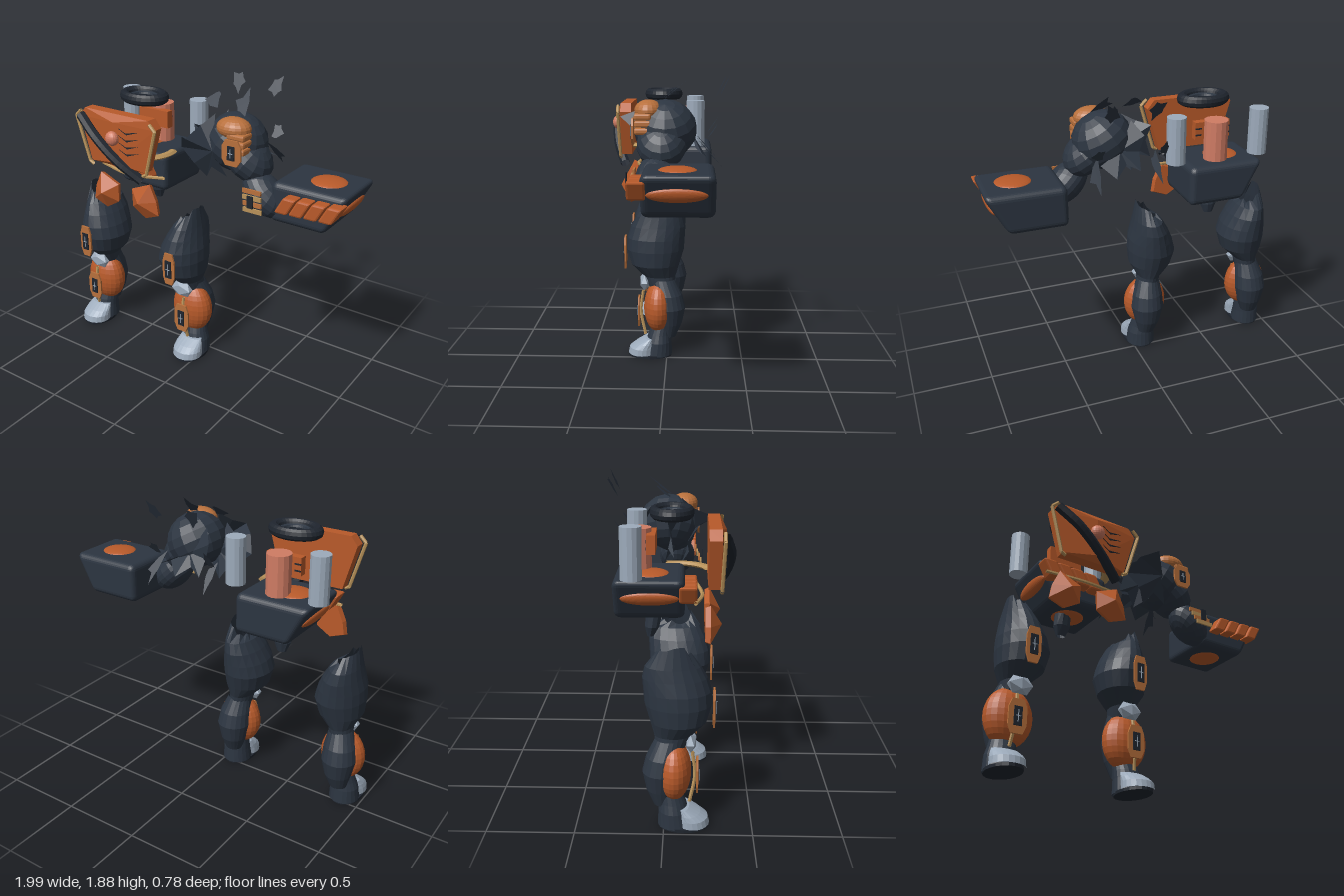
import * as THREE from 'three';
import { RoundedBoxGeometry } from 'three/addons/geometries/RoundedBoxGeometry.js';
import { ConvexGeometry } from 'three/addons/geometries/ConvexGeometry.js';

const mat = (name, color, extra = {}) => new THREE.MeshStandardMaterial({ name, color, flatShading: true, ...extra });
const DS = { side: THREE.DoubleSide };
const V = (x, y, z) => new THREE.Vector3(x, y, z);

export function createModel() {
  const slate = mat('slate armour', 0x2c3541, DS);
  const black = mat('black rubber', 0x1f252e, DS);
  const orange = mat('burnt orange', 0xb85a2a);
  const tan = mat('tan orange', 0xb8703c);
  const gold = mat('dull gold', 0xb8925a, DS);
  const steel = mat('pale steel', 0x9dabbb);
  const salmon = mat('salmon', 0xd07c64);
  const root = new THREE.Group();
  root.name = 'brokenRobot';

  const add = (parent, name, geo, m, x = 0, y = 0, z = 0) => {
    const mesh = new THREE.Mesh(geo, m);
    mesh.name = name;
    mesh.position.set(x, y, z);
    parent.add(mesh);
    return mesh;
  };
  const ball = (parent, name, m, pos, r, seg = 18) => {
    const s = add(parent, name, new THREE.SphereGeometry(1, seg, Math.round(seg * 0.7)), m, ...pos);
    s.scale.set(...r);
    return s;
  };
  const box = (parent, name, m, pos, size) => add(parent, name, new THREE.BoxGeometry(...size), m, ...pos);

  // Tube of elliptical sections [y, cx, cz, rx, rz], bottom to top, with an optional torn, tilted upper rim
  const loft = (rows, torn = 0, tilt = 0, n = 20) => {
    const pos = [], idx = [];
    rows.forEach(([y, cx, cz, rx, rz], r) => {
      for (let i = 0; i < n; i++) {
        const a = (i / n) * Math.PI * 2;
        const rag = r === rows.length - 1 ? torn * Math.sin(i * 2.4) * Math.cos(i * 1.1) + tilt * Math.cos(a) : 0;
        pos.push(cx + rx * Math.cos(a), y + rag, cz + rz * Math.sin(a));
        if (r) {
          const j = (i + 1) % n, p = (r - 1) * n, q = r * n;
          idx.push(p + i, q + i, p + j, p + j, q + i, q + j);
        }
      }
    });
    const g = new THREE.BufferGeometry();
    g.setAttribute('position', new THREE.Float32BufferAttribute(pos, 3));
    g.setIndex(idx);
    g.computeVertexNormals();
    return g;
  };

  // Thin plate cut from an outline
  const plateGeo = (pts, depth) =>
    new THREE.ExtrudeGeometry(new THREE.Shape(pts.map(p => new THREE.Vector2(...p))), { depth, bevelEnabled: false });
  // Chamfered panel with a dark display
  const panel = (parent, name, x, y, z, w, h) => {
    const a = w / 2, b = h / 2;
    add(parent, name, plateGeo([[-a * 0.6, -b], [a * 0.6, -b], [a, -b * 0.5], [a, b * 0.5],
      [a * 0.65, b], [-a * 0.65, b], [-a, b * 0.5], [-a, -b * 0.5]], 0.012), tan, x, y, z);
    box(parent, name + 'Screen', black, [x, y, z + 0.014], [0.048, h * 0.55, 0.008]);
    box(parent, name + 'ScreenMark', steel, [x, y, z + 0.02], [0.004, h * 0.35, 0.004]);
    box(parent, name + 'ScreenMark', steel, [x, y, z + 0.02], [0.03, 0.004, 0.004]);
  };

  // ---------- Legs and hip guards, mirrored about the torso line ----------
  for (const side of [1, -1]) {
    const leg = new THREE.Group();
    leg.name = side > 0 ? 'leftLeg' : 'rightLeg';
    leg.position.x = -0.475;
    leg.scale.x = side;
    root.add(leg);
    add(leg, 'thigh', loft([[0.47, 0.37, 0.035, 0.07, 0.085], [0.54, 0.363, 0.05, 0.075, 0.105],
      [0.62, 0.342, 0.08, 0.138, 0.16], [0.72, 0.333, 0.08, 0.155, 0.19], [0.8, 0.342, 0.075, 0.142, 0.19],
      [0.88, 0.353, 0.06, 0.115, 0.18], [0.95, 0.368, 0.05, 0.088, 0.155], [1.02, 0.378, 0.055, 0.06, 0.095]], 0.022, 0.05), slate);
    add(leg, 'calfBack', loft([[0.13, 0.395, -0.01, 0.055, 0.05], [0.22, 0.39, -0.015, 0.085, 0.085],
      [0.33, 0.39, -0.012, 0.11, 0.11], [0.42, 0.385, 0, 0.1, 0.1], [0.52, 0.372, 0.03, 0.072, 0.08]]), slate);
    ball(leg, 'calfShell', orange, [0.383, 0.33, 0.058], [0.145, 0.175, 0.097], 22);
    const cap = add(leg, 'kneeCap', new THREE.IcosahedronGeometry(1, 0), steel, 0.363, 0.5, 0.15);
    cap.scale.set(0.084, 0.062, 0.036);
    panel(leg, 'thighPanel', 0.355, 0.7, 0.272, 0.09, 0.22);
    panel(leg, 'shinPanel', 0.384, 0.3, 0.182, 0.11, 0.2);
    const strip = new THREE.CatmullRomCurve3([V(0.38, 0.44, 0.16), V(0.385, 0.3, 0.175), V(0.4, 0.14, 0.145)]);
    add(leg, 'shinStrip', new THREE.TubeGeometry(strip, 10, 0.011, 6), gold);
    // Foot
    add(leg, 'sole', loft([[0, 0.412, 0.113, 0, 0], [0, 0.412, 0.113, 0.1, 0.145], [0.018, 0.412, 0.113, 0.1, 0.145],
      [0.018, 0.412, 0.113, 0, 0]]), black);
    add(leg, 'boot', loft([[0.01, 0.41, 0.065, 0.096, 0.1], [0.1, 0.41, 0.055, 0.09, 0.085],
      [0.15, 0.402, 0.05, 0.082, 0.075], [0.2, 0.395, 0.04, 0.075, 0.065], [0.2, 0.395, 0.04, 0, 0]]), slate);
    add(leg, 'toeCap', loft([[0.018, 0.412, 0.165, 0.101, 0.094], [0.06, 0.412, 0.16, 0.1, 0.09],
      [0.09, 0.41, 0.14, 0.094, 0.068], [0.125, 0.408, 0.11, 0.08, 0.035], [0.13, 0.408, 0.1, 0, 0]]), steel);
    // Faceted hip guard
    const rim = [[0.2, 1.24], [0.055, 1.18], [0.06, 1.06], [0.16, 1], [0.265, 1.04], [0.25, 1.13]];
    add(leg, 'hipGuard', new ConvexGeometry([...rim.map(([x, y]) => V(x, y, 0.255)),
      ...rim.map(([x, y]) => V(0.155 + (x - 0.155) * 0.9, 1.12 + (y - 1.12) * 0.9, 0.225)), V(0.15, 1.12, 0.32)]), orange);
  }
  add(root, 'pelvisCore', loft([[1.0, -0.475, -0.09, 0.03, 0.02], [1.06, -0.475, -0.08, 0.055, 0.045],
    [1.2, -0.475, -0.06, 0.055, 0.05]], 0.02, 0, 10), slate);

  // ---------- Chest ----------
  const chest = new THREE.Group();
  chest.name = 'chest';
  chest.position.x = -0.475;
  root.add(chest);
  const outline = [[-0.215, 1.335], [0.215, 1.335], [0.295, 1.62], [0.25, 1.675], [-0.25, 1.675], [-0.295, 1.62]];
  add(chest, 'chestPlate', new ConvexGeometry([...outline.map(([x, y]) => V(x, y, 0.31)),
    ...outline.map(([x, y]) => V(x, y, 0.24)), V(0, 1.63, 0.343), V(0, 1.37, 0.343)]), orange);
  const frame = [[0.27, 1.66, 0.325], [0.31, 1.62, 0.325], [0.228, 1.33, 0.315], [0.2, 1.315, 0.315]];
  for (const s of [1, -1])
    for (let i = 0; i < 3; i++) {
      const [a, b] = [frame[i], frame[i + 1]].map(p => V(p[0] * s, p[1], p[2]));
      add(chest, 'chestFrame', new THREE.TubeGeometry(new THREE.LineCurve3(a, b), 1, 0.011, 6), gold);
    }
  const strap = new THREE.CatmullRomCurve3([V(-0.27, 1.63, 0.33), V(-0.13, 1.52, 0.36), V(0.02, 1.39, 0.345), V(0.17, 1.27, 0.29)]);
  add(chest, 'chestStrap', new THREE.TubeGeometry(strap, 16, 0.032, 7), black);
  ball(chest, 'chestOrb', salmon, [-0.002, 1.53, 0.352], [0.046, 0.046, 0.036], 16);
  for (let i = 0; i < 4; i++) {
    const y = 1.6 - i * 0.045;
    const claw = add(chest, 'clawMark', plateGeo([[0.04, y], [0.09, y - 0.025], [0.18, y - 0.008], [0.1, y - 0.035]], 0.004),
      black, 0, 0, 0.345);
    claw.rotation.y = 0.13;
  }
  // Neck ring
  const ring = add(chest, 'neckRing', new THREE.TorusGeometry(0.135, 0.036, 10, 32), black, 0.005, 1.725, 0.035);
  ring.rotation.x = Math.PI / 2;
  ring.scale.y = 0.74;
  const inner = add(chest, 'neckInnerRing', new THREE.TorusGeometry(0.085, 0.018, 8, 28), slate, 0.005, 1.72, 0.035);
  inner.rotation.x = Math.PI / 2;
  inner.scale.y = 0.8;
  // Back cylinders and their mount
  for (const s of [-1, 1])
    add(chest, 'exhaust', new THREE.CylinderGeometry(0.06, 0.06, 0.29, 14), steel, s * 0.275, 1.55, -0.18);
  add(chest, 'fuelCell', new THREE.CylinderGeometry(0.075, 0.075, 0.26, 14), salmon, 0, 1.51, -0.155);
  box(chest, 'fuelCellMount', orange, [0, 1.56, -0.08], [0.23, 0.11, 0.05]);
  for (const s of [-1, 1])
    for (const y of [1.535, 1.575]) box(chest, 'mountSlot', black, [s * 0.095, y, -0.106], [0.04, 0.009, 0.006]);
  // Gold waist pieces
  const belt = add(chest, 'waistCrescent', new THREE.TorusGeometry(0.2, 0.03, 6, 20, Math.PI * 0.45), gold, 0.005, 1.385, 0.06);
  belt.rotation.set(Math.PI / 2, 0, -0.3);
  belt.scale.z = 0.5;
  const band = new THREE.CatmullRomCurve3([V(-0.25, 1.265, 0.17), V(0, 1.25, 0.21), V(0.25, 1.265, 0.17)]);
  add(chest, 'waistBand', new THREE.TubeGeometry(band, 12, 0.011, 6), gold);

  // ---------- Fists: one on the arm, its mirror under the chest ----------
  const shear = (geo, rule) => {
    const p = geo.attributes.position;
    for (let i = 0; i < p.count; i++) p.setX(i, rule(p.getX(i), p.getY(i)));
    geo.computeVertexNormals();
    return geo;
  };
  for (const side of [1, -1]) {
    const fist = new THREE.Group();
    fist.name = side > 0 ? 'leftFist' : 'rightFist';
    fist.position.x = side > 0 ? 0 : 0.245;
    fist.scale.x = side;
    root.add(fist);
    add(fist, 'fistBlock', shear(new RoundedBoxGeometry(0.49, 0.25, 0.4, 3, 0.04),
      (x, y) => x - (0.125 - y) * 0.55 * (x + 0.245) / 0.49), slate, 0.75, 1.267, -0.09);
    // Domes set into the top, bottom and slanted outer face
    ball(fist, 'topDome', orange, [0.785, 1.385, -0.085], [0.112, 0.027, 0.108], 26);
    ball(fist, 'bottomDome', orange, [0.68, 1.147, -0.085], [0.105, 0.026, 0.108], 26);
    const lens = ball(fist, 'sideLens', orange, [0.932, 1.28, -0.085], [0.025, 0.045, 0.165], 24);
    lens.rotation.z = -0.5;
    for (let i = 0; i < 4; i++)
      add(fist, 'finger', shear(new RoundedBoxGeometry(0.084, 0.105, 0.1, 1, 0.012), (x, y) => x + y * 0.55),
        orange, 0.64 + i * 0.093, 1.291 + i * 0.004, 0.13);
  }

  // ---------- Arm ----------
  const arm = new THREE.Group();
  arm.name = 'leftArm';
  root.add(arm);
  const shoulder = ball(arm, 'shoulder', slate, [0.21, 1.55, 0], [0.19, 0.175, 0.19], 14);
  shoulder.rotation.z = -0.5;
  const upper = ball(arm, 'upperArm', slate, [0.3, 1.47, 0.02], [0.17, 0.12, 0.15], 14);
  upper.rotation.z = -0.7;
  const fore = ball(arm, 'forearm', slate, [0.435, 1.28, 0.05], [0.165, 0.105, 0.12], 16);
  fore.rotation.z = -0.75;
  ball(arm, 'shoulderCap', tan, [0.245, 1.665, 0.1], [0.11, 0.065, 0.085], 18);
  for (let i = 0; i < 3; i++)
    add(arm, 'shoulderRib', new RoundedBoxGeometry(0.12, 0.04, 0.1, 1, 0.012), tan, 0.3, 1.55 + i * 0.042, 0.13);
  panel(arm, 'armPanel', 0.288, 1.545, 0.185, 0.13, 0.155);
  for (let i = 0; i < 4; i++)
    box(arm, 'forearmSlat', i % 2 ? gold : tan, [0.42 + i * 0.01, 1.33 - i * 0.033, 0.175 + i * 0.012], [0.125, 0.027, 0.012]);
  box(arm, 'forearmScreen', black, [0.438, 1.285, 0.222], [0.04, 0.075, 0.008]);

  // Torn sheets fanning out from the shoulder
  const sheet = (name, pts) => {
    const g = new THREE.BufferGeometry();
    const tri = [];
    for (let i = 1; i + 1 < pts.length; i++) tri.push(...pts[0], ...pts[i], ...pts[i + 1]);
    g.setAttribute('position', new THREE.Float32BufferAttribute(tri, 3));
    g.computeVertexNormals();
    add(arm, name, g, slate);
  };
  sheet('tornCollarFront', [[0.14, 1.52, 0.17], [0.1, 1.72, 0.08], [0.05, 1.66, 0.16], [0.03, 1.61, 0.29],
    [-0.06, 1.58, 0.2], [-0.12, 1.48, 0.12], [-0.02, 1.4, 0.13], [0.04, 1.31, 0.08], [0.1, 1.4, 0.12], [0.2, 1.35, 0.1]]);
  sheet('tornCollarSide', [[0.06, 1.5, 0.02], [0.05, 1.66, 0.1], [-0.03, 1.62, 0.06], [-0.11, 1.6, 0],
    [-0.08, 1.5, 0.02], [-0.12, 1.38, 0.04], [-0.03, 1.42, 0], [0.03, 1.33, -0.02], [0.12, 1.4, 0.04]]);
  sheet('tornCollarBack', [[0.15, 1.52, -0.16], [0.06, 1.68, -0.1], [0, 1.6, -0.17], [0.03, 1.5, -0.16],
    [0.04, 1.4, -0.22], [0.12, 1.44, -0.19], [0.2, 1.38, -0.25], [0.28, 1.45, -0.18], [0.36, 1.42, -0.22]]);

  // Loose jagged shards: [x, y, z, half width, half height, lean]
  [[-0.01, 1.81, -0.345, 0.07, 0.08, -0.5], [0.26, 1.81, -0.35, 0.065, 0.08, -0.5],
    [0.02, 1.77, -0.03, 0.06, 0.075, -1.2], [0.22, 1.77, -0.04, 0.07, 0.075, -1.2],
    [-0.08, 1.55, -0.29, 0.045, 0.07, -0.7], [0.32, 1.55, -0.28, 0.05, 0.07, -0.7],
    [0.33, 1.43, -0.26, 0.05, 0.1, 0.9], [-0.05, 1.43, -0.24, 0.05, 0.09, 0.9],
  ].forEach(([x, y, z, w, h, lean], k) => {
    const pts = [[x, y, z]];
    for (let i = 0; i <= 10; i++) {
      const a = ((i % 10) / 10) * Math.PI * 2 + k;
      const r = i % 2 ? 0.5 : 0.75 + 0.3 * Math.sin((i % 10) * 1.7 + k * 2.3);
      pts.push([x + w * r * Math.cos(a), y + h * r * Math.sin(a), z + lean * h * r * Math.sin(a)]);
    }
    sheet('looseShard', pts);
  });
  return root;
}
